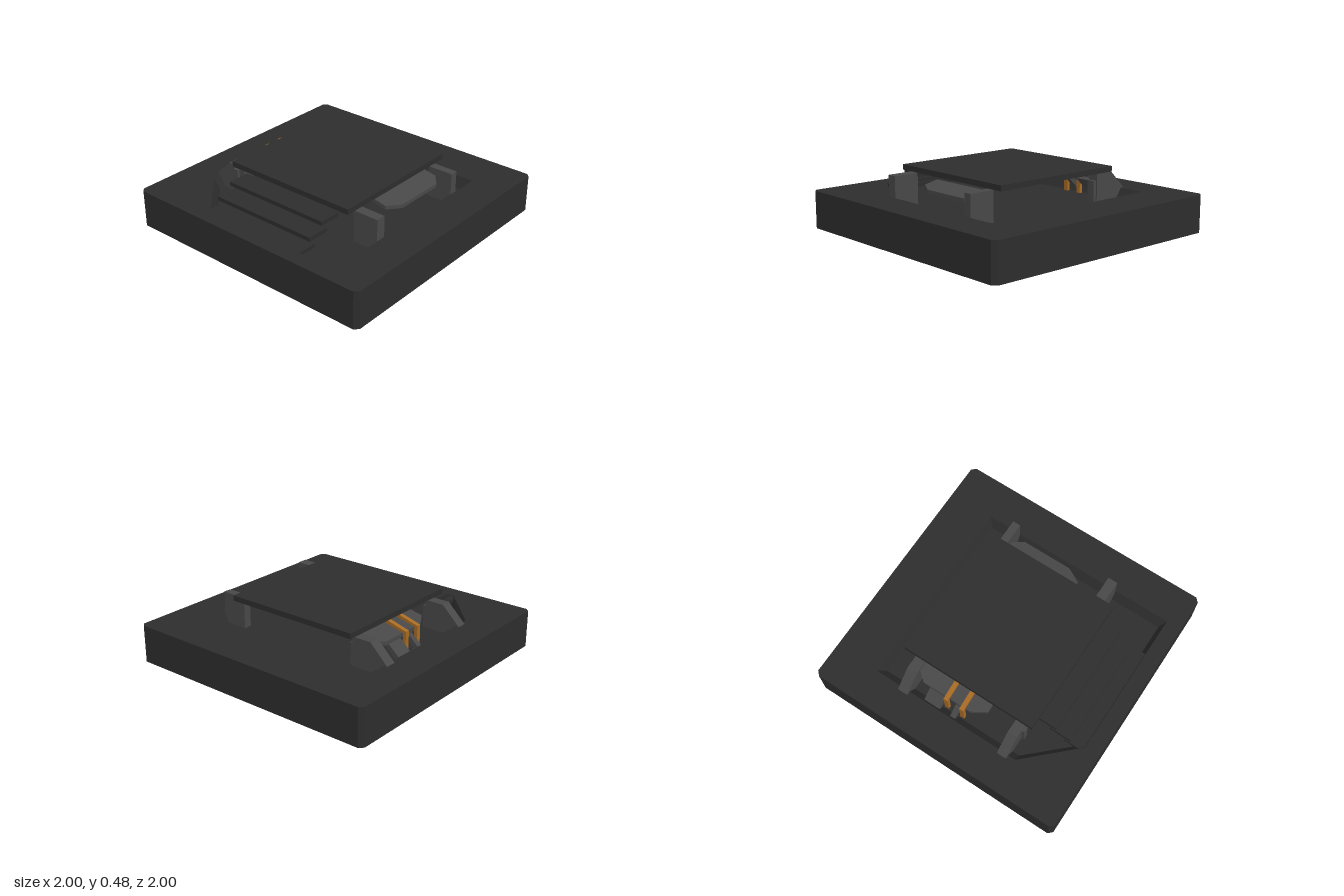
import * as THREE from 'three';

const darkGrey = new THREE.MeshStandardMaterial({ color: 0x2d2d2d, side: THREE.DoubleSide });
darkGrey.name = 'darkGrey';
const midGrey = new THREE.MeshStandardMaterial({ color: 0x484848, side: THREE.DoubleSide });
midGrey.name = 'midGrey';
const amber = new THREE.MeshStandardMaterial({ color: 0xa66a24, side: THREE.DoubleSide });
amber.name = 'amber';

// Faceted band joining two loops of [x, z] points at heights y0 and y1
function band(a, y0, b, y1) {
  const pos = [];
  a.forEach((p, i) => {
    const j = (i + 1) % a.length;
    const A = [p[0], y0, p[1]], B = [a[j][0], y0, a[j][1]];
    const C = [b[j][0], y1, b[j][1]], D = [b[i][0], y1, b[i][1]];
    pos.push(...A, ...B, ...C, ...A, ...C, ...D);
  });
  const g = new THREE.BufferGeometry();
  g.setAttribute('position', new THREE.Float32BufferAttribute(pos, 3));
  g.computeVertexNormals();
  return g;
}

// Horizontal sheet from a loop of [x, z] points, facing up
function sheet(loop, y, hole) {
  const pts = (l) => l.map(([x, z]) => new THREE.Vector2(x, -z));
  const s = new THREE.Shape(pts(loop));
  if (hole) s.holes.push(new THREE.Path(pts(hole)));
  return new THREE.ShapeGeometry(s).rotateX(-Math.PI / 2).translate(0, y, 0);
}

// Side profile of [x, y] points extruded from z0 to z1
function slab(profile, z0, z1) {
  const s = new THREE.Shape(profile.map(([x, y]) => new THREE.Vector2(x, y)));
  return new THREE.ExtrudeGeometry(s, { depth: z1 - z0, bevelEnabled: false }).translate(0, 0, z0);
}

// Box given by its limits
function box(x0, x1, y0, y1, z0, z1) {
  return new THREE.BoxGeometry(x1 - x0, y1 - y0, z1 - z0)
    .translate((x0 + x1) / 2, (y0 + y1) / 2, (z0 + z1) / 2);
}

export function createModel() {
  const model = new THREE.Group();
  model.name = 'raisedPlatform';
  const add = (name, geometry, material) => {
    const m = new THREE.Mesh(geometry, material);
    m.name = name;
    model.add(m);
    return m;
  };

  // Hollow base with clipped corners and a sunken pit
  const c = 0.97;
  const outer = [[-1, c], [-c, 1], [c, 1], [1, c], [1, -c], [c, -1], [-c, -1], [-1, -c]];
  const rim = [[-0.74, 0.53], [-0.4, 0.885], [0.72, 0.885], [0.72, -0.65], [-0.74, -0.65]];
  const bed = [[-0.685, 0.525], [-0.38, 0.85], [0.68, 0.85], [0.68, -0.61], [-0.685, -0.61]];
  const floorY = 0.2, topY = 0.28;
  add('baseWalls', band(outer, 0, outer, topY), darkGrey);
  add('baseTop', sheet(outer, topY, rim), darkGrey);
  add('pitWalls', band(bed, floorY, rim, topY).scale(1, 1, 1), darkGrey);
  add('pitFloor', sheet(bed, floorY), darkGrey);

  // Raised square platform
  add('platform', box(-0.535, 0.53, 0.44, 0.48, -0.535, 0.528), darkGrey);

  // Floating steps down to the front
  for (let i = 0; i < 3; i++) {
    const z = 0.49 + 0.12 * i, y = 0.375 - 0.066 * i;
    add('step', box(-0.43, 0.42, y, y + 0.03, z, Math.min(z + 0.17, 0.885)), darkGrey);
  }

  // Upright posts on the left side
  for (const [z0, z1] of [[-0.445, -0.385], [0.375, 0.45]]) {
    add('leftPost', box(0.515, 0.715, 0.185, 0.436, z0, z1), midGrey);
  }

  // Sloped buttresses on the right side, with small inner brackets
  const buttress = [[-0.77, 0.19], [-0.48, 0.19], [-0.48, 0.415], [-0.63, 0.415], [-0.77, 0.28]];
  for (const [z0, z1, b0, b1] of [[-0.445, -0.365, -0.38, -0.355], [0.395, 0.47, 0.46, 0.49]]) {
    add('buttress', slab(buttress, z0, z1), midGrey);
    add('bracket', box(-0.57, -0.53, 0.19, 0.395, b0, b1), midGrey);
    add('bracketFoot', box(-0.48, -0.455, 0.19, 0.365, z0 + 0.01, z1 - 0.01), midGrey);
  }

  // Leaning braces on the pit wall
  const brace = [[-0.745, 0.24], [-0.71, 0.22], [-0.6, 0.325], [-0.625, 0.345]];
  add('wideBrace', slab(brace, -0.25, -0.12), midGrey);
  add('narrowBrace', slab(brace, -0.03, 0.01), midGrey);

  // Tilted side wings with clipped outer corners
  const wing = [[0.475, 0.2], [0.585, 0.2], [0.648, 0.09], [0.648, -0.3], [0.585, -0.375], [0.475, -0.375]];
  for (const side of [1, -1]) {
    const outline = new THREE.Shape(wing.map(([x, z]) => new THREE.Vector2(side * x, -z)));
    const g = new THREE.ExtrudeGeometry(outline, { depth: 0.028, bevelEnabled: false }).rotateX(-Math.PI / 2);
    const p = g.attributes.position;
    for (let i = 0; i < p.count; i++) {
      p.setY(i, p.getY(i) + 0.38 - 0.2 * (Math.abs(p.getX(i)) - 0.475));
    }
    g.computeVertexNormals();
    add('wing', g, midGrey);
  }

  // Straps bent over the right wing and down to the floor
  const strap = [[-0.675, 0.2], [-0.65, 0.2], [-0.65, 0.375], [-0.49, 0.413],
    [-0.5, 0.436], [-0.675, 0.388]];
  for (const z of [-0.095, 0.037]) add('strap', slab(strap, z - 0.017, z + 0.017), amber);

  return model;
}
